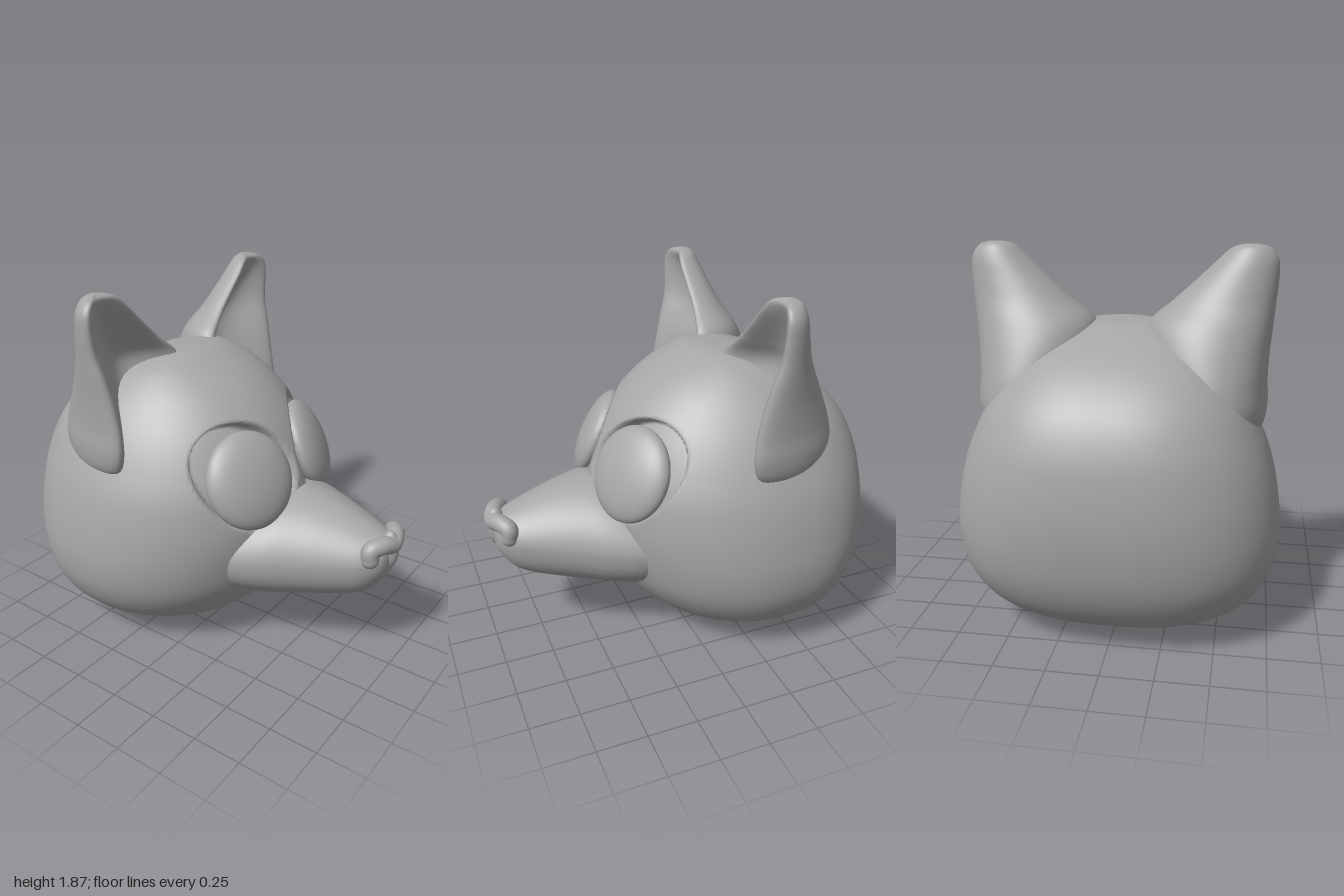
import * as THREE from 'three';

const fur = new THREE.MeshStandardMaterial({ color: 0xa6a6a6 });
fur.name = 'plain grey';

// Catmull-Rom sampling of a table of section rows, t from 0 to 1
function sampleRows(rows, t) {
  const n = rows.length - 1;
  const i = Math.min(Math.floor(t * n), n - 1);
  const u = t * n - i;
  const p1 = rows[i], p2 = rows[i + 1];
  const p0 = rows[i - 1] || p1.map((v, k) => 2 * v - p2[k]);
  const p3 = rows[i + 2] || p2.map((v, k) => 2 * v - p1[k]);
  return p1.map((v, k) => v + 0.5 * u * (p2[k] - p0[k] +
    u * (2 * p0[k] - 5 * v + 4 * p2[k] - p3[k] + u * (3 * (v - p2[k]) + p3[k] - p0[k]))));
}

// Skin closed rings given by point(row, angle); faces always end up outward
function loft(rows, steps, segs, point) {
  const pos = [], idx = [];
  for (let i = 0; i <= steps; i++) {
    const row = sampleRows(rows, i / steps);
    for (let j = 0; j < segs; j++) pos.push(...point(row, (j / segs) * Math.PI * 2));
  }
  for (let i = 0; i < steps; i++) {
    for (let j = 0; j < segs; j++) {
      const k = (j + 1) % segs;
      const a = i * segs + j, b = i * segs + k, c = a + segs, d = b + segs;
      idx.push(a, c, b, b, c, d);
    }
  }
  const centre = new THREE.Vector3();
  for (let i = 0; i < pos.length; i += 3) centre.add(new THREE.Vector3(pos[i], pos[i + 1], pos[i + 2]));
  centre.multiplyScalar(3 / pos.length);
  const vert = (i) => new THREE.Vector3().fromArray(pos, i * 3).sub(centre);
  let volume = 0;
  for (let i = 0; i < idx.length; i += 3) {
    volume += vert(idx[i]).dot(vert(idx[i + 1]).cross(vert(idx[i + 2])));
  }
  if (volume < 0) idx.reverse();
  const g = new THREE.BufferGeometry();
  g.setAttribute('position', new THREE.Float32BufferAttribute(pos, 3));
  g.setIndex(idx);
  g.computeVertexNormals();
  return g;
}

const spow = (v, p) => Math.sign(v) * Math.abs(v) ** p;

// Skull rows: height, back x, front x, half width
const skullRows = [
  [0, -0.31, -0.31, 0], [0.01, -0.5, -0.12, 0.2], [0.05, -0.64, 0.02, 0.4],
  [0.12, -0.77, 0.14, 0.57], [0.22, -0.87, 0.25, 0.69], [0.36, -0.945, 0.35, 0.765],
  [0.52, -0.985, 0.41, 0.79], [0.7, -1, 0.445, 0.775], [0.88, -0.987, 0.435, 0.735],
  [1.03, -0.955, 0.385, 0.675], [1.17, -0.89, 0.305, 0.6], [1.29, -0.785, 0.205, 0.51],
  [1.38, -0.66, 0.1, 0.42], [1.45, -0.51, -0.02, 0.32], [1.495, -0.37, -0.12, 0.19],
  [1.51, -0.2, -0.2, 0],
];
function skullPoint([y, back, front, w], a) {
  const mid = back + 0.43 * (front - back);
  const c = Math.cos(a), s = Math.sin(a);
  let x = c > 0 ? mid + (front - mid) * c : mid + (mid - back) * spow(c, 0.8);
  const z = w * (c > 0 ? s : spow(s, 0.8));
  // sunken eye sockets
  if (x > 0) {
    const r = Math.hypot((Math.abs(z) - 0.268) / 0.245, (y - 0.988) / 0.255);
    x -= 0.09 * (1 - THREE.MathUtils.smoothstep(r, 0.86, 1));
  }
  return [x, Math.max(y, 0), z];
}

// Muzzle rows: x, top, widest height, bottom, half width
const muzzleRows = [
  [0.2, 0.83, 0.57, 0.27, 0.45], [0.32, 0.855, 0.57, 0.285, 0.43], [0.44, 0.87, 0.58, 0.305, 0.385],
  [0.56, 0.855, 0.59, 0.33, 0.325], [0.68, 0.825, 0.6, 0.36, 0.268], [0.79, 0.79, 0.61, 0.392, 0.215],
  [0.87, 0.76, 0.62, 0.435, 0.172], [0.925, 0.735, 0.63, 0.5, 0.125], [0.955, 0.705, 0.635, 0.56, 0.075],
  [0.965, 0.64, 0.64, 0.64, 0],
];
function muzzlePoint([x, top, mid, bottom, w], a) {
  const c = Math.cos(a), s = Math.sin(a);
  const y = s > 0 ? mid + (top - mid) * spow(s, 1.15) : mid + (mid - bottom) * spow(s, 0.92);
  return [x, y, w * spow(c, s > 0 ? 1.1 : 0.95)];
}

// Ear rows: height, inner z, outer z, back x, front x, hollow depth
const earRows = [
  [0.95, 0.3, 0.62, -0.52, -0.28, 0], [1.02, 0.26, 0.685, -0.63, -0.2, 0.02],
  [1.12, 0.22, 0.705, -0.67, -0.165, 0.06], [1.24, 0.17, 0.7, -0.66, -0.17, 0.1],
  [1.38, 0.12, 0.705, -0.61, -0.195, 0.14], [1.5, 0.13, 0.715, -0.55, -0.225, 0.15],
  [1.6, 0.24, 0.722, -0.49, -0.255, 0.11], [1.7, 0.35, 0.73, -0.45, -0.265, 0.07],
  [1.79, 0.445, 0.728, -0.42, -0.27, 0.03], [1.845, 0.505, 0.695, -0.395, -0.285, 0.0],
  [1.865, 0.555, 0.645, -0.37, -0.315, 0], [1.87, 0.6, 0.6, -0.345, -0.345, 0],
];
function earPoint([y, inner, outer, back, front, hollow], a, side) {
  const s = Math.sin(a);
  const lip = (front - back) * 0.24;
  const edge = front - lip;
  const z = (inner + outer) / 2 + ((outer - inner) / 2) * Math.cos(a);
  const x = s >= 0
    ? edge - (edge - back) * s
    : edge + lip * Math.sin(Math.PI * Math.min(1, -s)  * 0.85 + 0) - hollow * s ** 4;
  return [x, y, z * side];
}

export function createModel() {
  const model = new THREE.Group();
  model.name = 'animalHead';
  const add = (name, geometry, parent = model) => {
    const mesh = new THREE.Mesh(geometry, fur);
    mesh.name = name;
    parent.add(mesh);
    return mesh;
  };

  add('skull', loft(skullRows, 150, 220, skullPoint));
  add('muzzle', loft(muzzleRows, 60, 72, muzzlePoint));

  // nose: bridge pad, curled nostril wings and a tapering lower stem
  const nose = new THREE.Group();
  nose.name = 'nose';
  model.add(nose);
  const v = (x, y, z) => new THREE.Vector3(x, y, z);
  const path = new THREE.CatmullRomCurve3([
    v(0.9, 0.66, -0.125), v(0.9, 0.705, -0.125), v(0.935, 0.722, -0.07), v(0.955, 0.705, 0),
    v(0.935, 0.722, 0.07), v(0.9, 0.705, 0.125), v(0.9, 0.66, 0.125),
  ]);
  add('nosePad', new THREE.TubeGeometry(path, 64, 0.045, 20), nose);
  const stem = add('noseStem', new THREE.SphereGeometry(1, 28, 20), nose);
  stem.scale.set(0.05, 0.105, 0.045);
  stem.position.set(0.94, 0.67, 0);

  for (const [side, label] of [[1, 'left'], [-1, 'right']]) {
    add(label + 'Ear', loft(earRows, 60, 64, (row, a) => earPoint(row, a, side)));

    // flattened eyeball facing outward and up
    const eye = add(label + 'Eye', new THREE.SphereGeometry(1, 48, 32));
    eye.scale.set(0.09, 0.245, 0.235);
    eye.position.set(0.303, 0.975, 0.278 * side);
    eye.quaternion.setFromUnitVectors(v(1, 0, 0), v(0.83, 0.41, 0.38 * side).normalize());

    const tip = add(label + 'NostrilTip', new THREE.SphereGeometry(0.045, 20, 14), nose);
    tip.position.set(0.9, 0.66, 0.125 * side);
  }
  return model;
}
